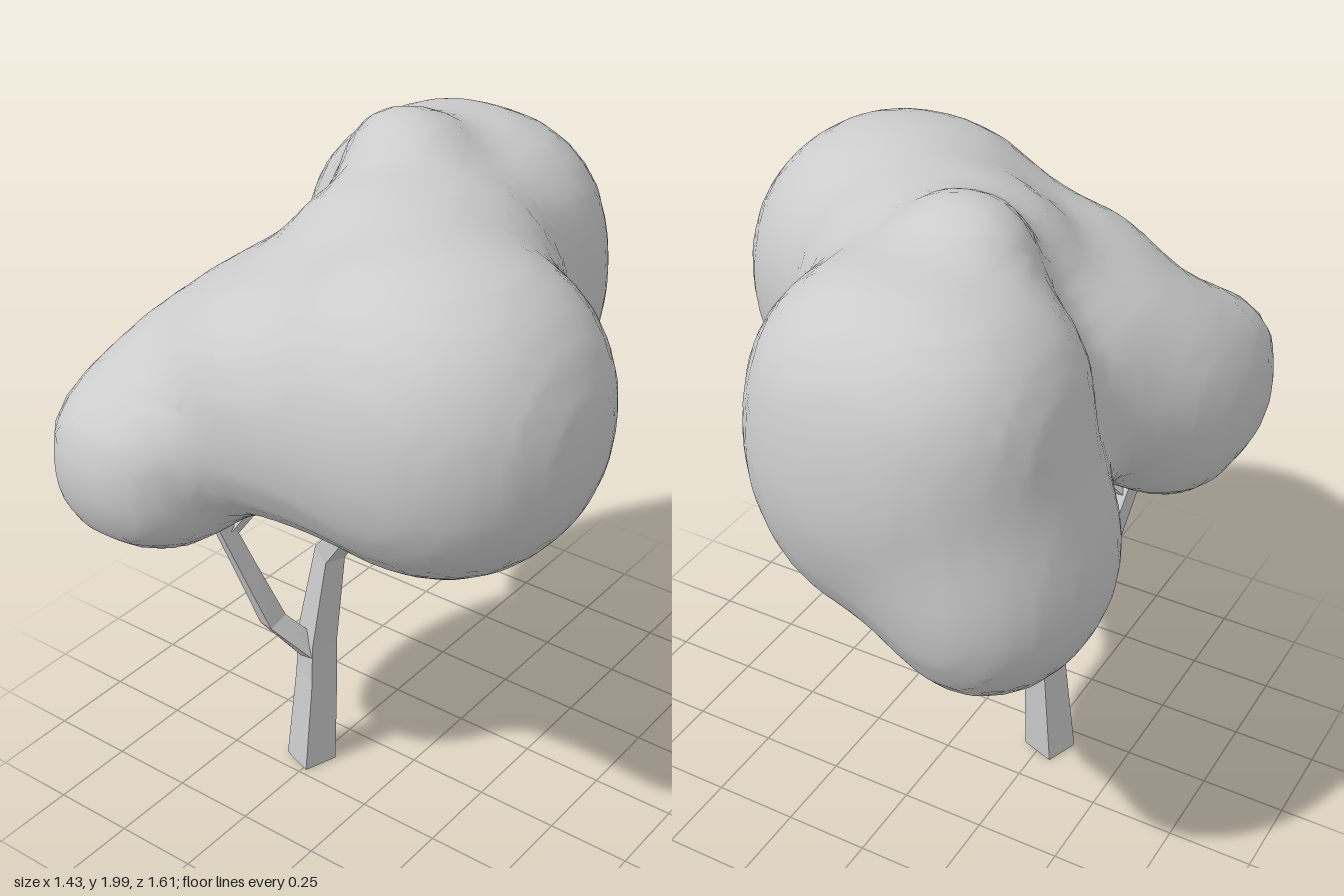
import * as THREE from 'three';

const grey = () => new THREE.MeshStandardMaterial({ color: 0xcccccc });

// Foliage lobes: centre x, y, z, radii x, y, z, fullness (2 is an ellipsoid, higher is squarer)
const LOBES = [
  [0.28, 1.47, 0.275, 0.44, 0.43, 0.415, 2.15],  // large front lobe
  [-0.16, 1.52, -0.42, 0.42, 0.4, 0.38, 2.3],    // back lobe, upper
  [-0.16, 1.33, -0.42, 0.39, 0.38, 0.355, 2.2],  // back lobe, middle
  [-0.38, 1.14, -0.4, 0.29, 0.35, 0.365, 2],     // back lobe, hanging part
  [-0.45, 1.205, 0.455, 0.265, 0.255, 0.345, 2.5], // small low lobe
  [0.01, 1.5, 0.0, 0.39, 0.415, 0.37, 2.3],      // core
  [-0.32, 1.39, 0.13, 0.24, 0.28, 0.3, 2.3],     // slope from low lobe to core
  [-0.45, 1.34, 0.32, 0.2, 0.22, 0.3, 2],        // shoulder above low lobe
  [-0.11, 1.4, 0.35, 0.35, 0.32, 0.31, 2.2],     // fill between front lobes
  [-0.16, 1.865, -0.19, 0.16, 0.13, 0.14, 2],    // crown tip
];

// Approximate distance to a slightly squared ellipsoid
function lobeDistance(x, y, z, [cx, cy, cz, rx, ry, rz, full]) {
  const a = Math.abs(x - cx) / rx, b = Math.abs(y - cy) / ry, c = Math.abs(z - cz) / rz;
  const k = (a ** full + b ** full + c ** full) ** (1 / full);
  if (k < 1e-6) return -Math.min(rx, ry, rz);
  const slope = (t, r) => (t / k) ** (full - 1) / r;
  return (k - 1) / Math.hypot(slope(a, rx), slope(b, ry), slope(c, rz));
}

// Smoothly blended union of all lobes
function foliageField(x, y, z) {
  const k = 0.12;
  let d = 10;
  for (const lobe of LOBES) {
    const e = lobeDistance(x, y, z, lobe);
    const h = Math.max(k - Math.abs(d - e), 0) / k;
    d = Math.min(d, e) - h * h * k / 4;
  }
  return d;
}

// Skin a field with a net: one vertex per boundary cell, one quad per crossed edge
function skinField(field, min, max, step) {
  const n = min.map((m, i) => Math.ceil((max[i] - m) / step) + 1);
  const stride = [1, n[0], n[0] * n[1]];
  const at = (i, j, k) => i + j * stride[1] + k * stride[2];
  const values = new Float32Array(n[0] * n[1] * n[2]);
  const eachCell = (margin, visit) => {
    for (let k = margin; k < n[2] - 1; k++)
      for (let j = margin; j < n[1] - 1; j++)
        for (let i = margin; i < n[0] - 1; i++) visit([i, j, k], at(i, j, k));
  };
  for (let k = 0; k < n[2]; k++)
    for (let j = 0; j < n[1]; j++)
      for (let i = 0; i < n[0]; i++)
        values[at(i, j, k)] = field(min[0] + i * step, min[1] + j * step, min[2] + k * step);

  const positions = [], index = [], vertexOf = new Map();
  eachCell(0, (cell, id) => {
    const sum = [0, 0, 0];
    let count = 0;
    for (let a = 0; a < 3; a++) {
      const b = (a + 1) % 3, c = (a + 2) % 3;
      for (let corner = 0; corner < 4; corner++) {
        const ob = corner & 1, oc = corner >> 1;
        const p = id + ob * stride[b] + oc * stride[c];
        const v0 = values[p], v1 = values[p + stride[a]];
        if ((v0 < 0) === (v1 < 0)) continue;
        sum[a] += v0 / (v0 - v1);
        sum[b] += ob;
        sum[c] += oc;
        count++;
      }
    }
    if (!count) return;
    vertexOf.set(id, positions.length / 3);
    for (let a = 0; a < 3; a++) positions.push(min[a] + (cell[a] + sum[a] / count) * step);
  });
  eachCell(1, (cell, id) => {
    for (let a = 0; a < 3; a++) {
      const inside = values[id] < 0;
      if (inside === (values[id + stride[a]] < 0)) continue;
      const sb = stride[(a + 1) % 3], sc = stride[(a + 2) % 3];
      const q = [id, id - sb, id - sb - sc, id - sc].map((c) => vertexOf.get(c));
      if (!inside) q.reverse();
      index.push(q[0], q[1], q[2], q[0], q[2], q[3]);
    }
  });
  const geometry = new THREE.BufferGeometry();
  geometry.setAttribute('position', new THREE.Float32BufferAttribute(positions, 3));
  geometry.setIndex(index);
  geometry.computeVertexNormals();
  return geometry;
}

// Four-sided tapering limb through points [x, y, z, corner radius]
function limb(name, points, turn = 0.45) {
  const centres = points.map((p) => new THREE.Vector3(p[0], p[1], p[2]));
  const positions = [], index = [];
  const last = points.length - 1;
  centres.forEach((centre, i) => {
    const along = centres[Math.min(i + 1, last)].clone().sub(centres[Math.max(i - 1, 0)]).normalize();
    if (centre.y === 0) along.set(0, 1, 0); // flat foot on the ground
    const u = new THREE.Vector3().crossVectors(along, new THREE.Vector3(0, 0, 1)).normalize();
    const v = new THREE.Vector3().crossVectors(along, u);
    for (let s = 0; s < 4; s++) {
      const angle = turn + s * Math.PI / 2;
      const p = centre.clone()
        .addScaledVector(u, Math.cos(angle) * points[i][3])
        .addScaledVector(v, Math.sin(angle) * points[i][3]);
      positions.push(p.x, p.y, p.z);
      if (i < last) {
        const a = i * 4 + s, b = i * 4 + (s + 1) % 4;
        index.push(a, b, b + 4, a, b + 4, a + 4);
      }
    }
  });
  const t = last * 4;
  index.push(0, 2, 1, 0, 3, 2, t, t + 1, t + 2, t, t + 2, t + 3);
  const geometry = new THREE.BufferGeometry();
  geometry.setAttribute('position', new THREE.Float32BufferAttribute(positions, 3));
  geometry.setIndex(index);
  geometry.computeVertexNormals();
  const material = grey();
  material.flatShading = true;
  const mesh = new THREE.Mesh(geometry, material);
  mesh.name = name;
  return mesh;
}

export function createModel() {
  const tree = new THREE.Group();
  tree.name = 'tree';

  // Canopy
  const foliage = new THREE.Mesh(
    skinField(foliageField, [-0.9, 0.65, -1], [0.9, 2.15, 1], 0.05), grey());
  foliage.name = 'foliage';
  tree.add(foliage);

  // Trunk and branches
  tree.add(
    limb('trunk', [
      [-0.27, 0, 0.165, 0.075], [-0.25, 0.32, 0.15, 0.062], [-0.245, 0.45, 0.15, 0.06],
      [-0.19, 0.77, 0.145, 0.045], [-0.01, 1.0, 0.22, 0.032], [0.12, 1.11, 0.26, 0.028],
      [0.2, 1.2, 0.27, 0.025]]),
    limb('frontBranch', [
      [-0.25, 0.42, 0.17, 0.045], [-0.325, 0.54, 0.25, 0.043], [-0.36, 0.75, 0.32, 0.036],
      [-0.39, 0.93, 0.38, 0.032], [-0.41, 1.06, 0.42, 0.025]]),
    limb('frontTwig', [
      [-0.38, 0.87, 0.36, 0.022], [-0.33, 0.95, 0.31, 0.02], [-0.29, 1.15, 0.26, 0.018]]),
    limb('backBranch', [
      [-0.19, 0.75, 0.13, 0.034], [-0.27, 0.81, -0.05, 0.03], [-0.34, 0.93, -0.18, 0.025],
      [-0.38, 1.02, -0.28, 0.022]]),
    limb('innerTwig', [
      [-0.02, 0.98, 0.2, 0.024], [-0.1, 1.07, 0.05, 0.022], [-0.14, 1.17, -0.02, 0.02]]));
  return tree;
}
